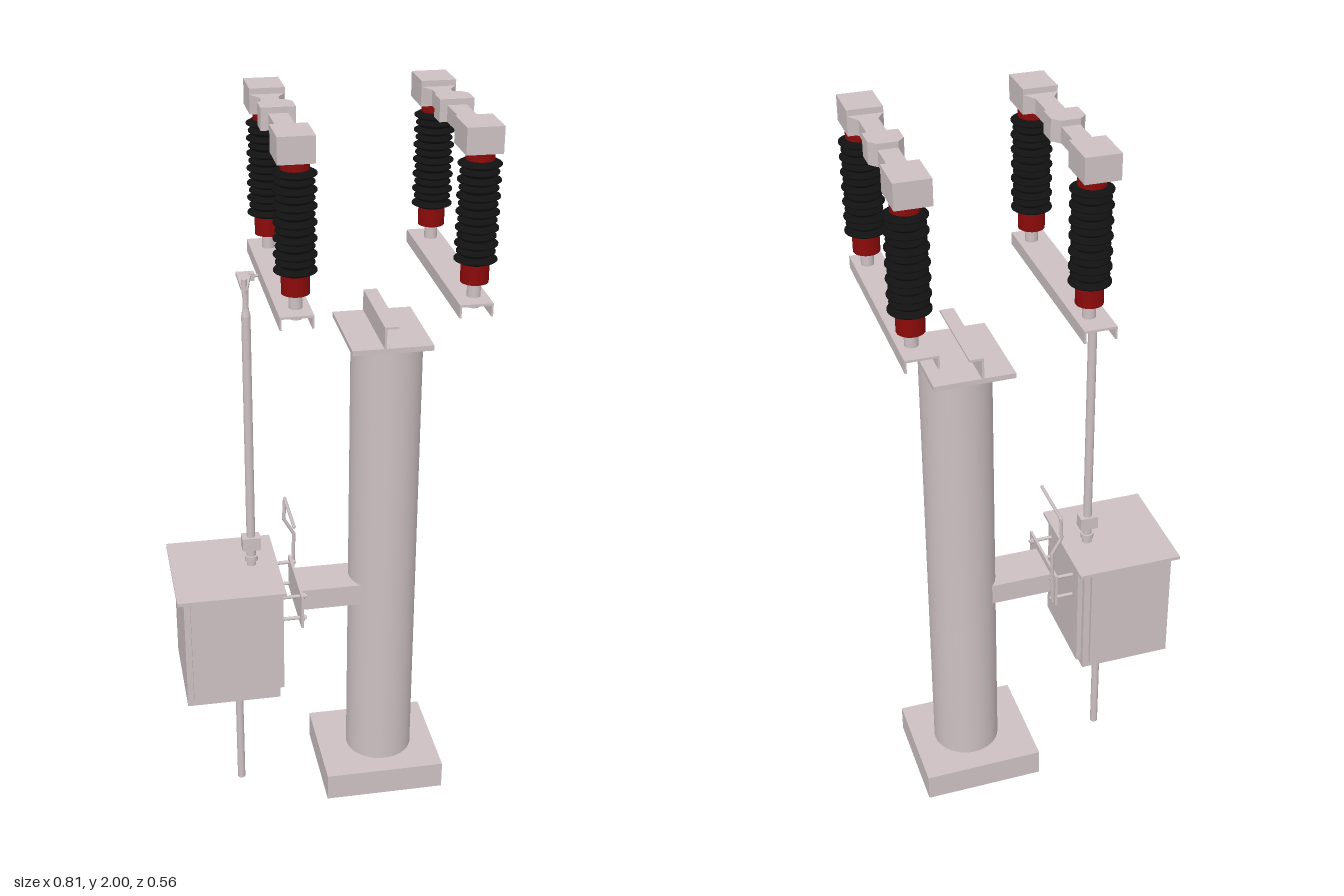
import * as THREE from 'three';

const steel = new THREE.MeshStandardMaterial({ color: 0xccc0c2 });
const steelOpen = new THREE.MeshStandardMaterial({ color: 0xccc0c2, side: THREE.DoubleSide });
const red = new THREE.MeshStandardMaterial({ color: 0x8b0a0a });
const black = new THREE.MeshStandardMaterial({ color: 0x111111 });

export function createModel() {
  const model = new THREE.Group();

  const add = (parent, name, geometry, material = steel) => {
    const mesh = new THREE.Mesh(geometry, material);
    mesh.name = name;
    parent.add(mesh);
    return mesh;
  };
  const group = (name) => {
    const g = new THREE.Group();
    g.name = name;
    model.add(g);
    return g;
  };
  // Box given by its limits on each axis
  const box = (parent, name, [x0, x1], [y0, y1], [z0, z1]) => {
    const g = new THREE.BoxGeometry(x1 - x0, y1 - y0, z1 - z0);
    return add(parent, name, g.translate((x0 + x1) / 2, (y0 + y1) / 2, (z0 + z1) / 2));
  };
  // Upright cylinder between two heights
  const post = (parent, name, x, z, y0, y1, r, material = steel, sides = 24, rTop = r) =>
    add(parent, name, new THREE.CylinderGeometry(rTop, r, y1 - y0, sides).translate(x, (y0 + y1) / 2, z), material);
  // Flat plate from an outline of [x, z] points
  const plate = (parent, name, points, y0, y1) => {
    const shape = new THREE.Shape(points.map(([x, z]) => new THREE.Vector2(x, -z)));
    const g = new THREE.ExtrudeGeometry(shape, { depth: y1 - y0, bevelEnabled: false });
    return add(parent, name, g.rotateX(-Math.PI / 2).translate(0, y0, 0));
  };

  // Hollow foot, open below
  const foot = group('foot');
  box(foot, 'footTop', [0.005, 0.345], [0.074, 0.08], [-0.15, 0.16]);
  for (const x of [0.005, 0.339]) box(foot, 'footSide', [x, x + 0.006], [0, 0.074], [-0.15, 0.16]);
  for (const z of [-0.15, 0.154]) box(foot, 'footEnd', [0.011, 0.339], [0, 0.074], [z, z + 0.006]);

  // Tubular column with head plate and angle bar
  const column = group('column');
  add(column, 'columnTube', new THREE.CylinderGeometry(0.095, 0.095, 1.335, 40, 1, true)
    .translate(0.185, 0.7175, 0.008), steelOpen);
  box(column, 'headPlate', [0.07, 0.283], [1.384, 1.398], [-0.146, 0.124]);
  box(column, 'angleWeb', [0.153, 0.159], [1.398, 1.456], [-0.146, 0.124]);
  box(column, 'angleFlange', [0.159, 0.19], [1.45, 1.456], [-0.146, 0.124]);

  // Insulator profile with alternating long and short sheds
  const sheds = [new THREE.Vector2(0, 1.655)];
  const count = 13, pitch = 0.255 / count;
  for (let i = 0; i < count; i++) {
    const y = 1.655 + i * pitch, r = i % 2 ? 0.048 : 0.053;
    sheds.push(new THREE.Vector2(0.038, y), new THREE.Vector2(r, y + pitch * 0.35),
      new THREE.Vector2(r, y + pitch * 0.5), new THREE.Vector2(0.038, y + pitch * 0.95));
  }
  sheds.push(new THREE.Vector2(0, 1.91));

  // Two identical poles: rail, two insulators, terminals and blade
  for (const [name, cx, ix] of [['rightPole', -0.097, -0.091], ['leftPole', 0.343, 0.35]]) {
    const pole = group(name);
    const rail = new THREE.Shape();
    const u = [[-0.042, 1.533], [-0.037, 1.533], [-0.037, 1.561], [0.037, 1.561],
      [0.037, 1.533], [0.042, 1.533], [0.042, 1.567], [-0.042, 1.567]];
    rail.setFromPoints(u.map(([x, y]) => new THREE.Vector2(cx + x, y)));
    add(pole, 'channelRail', new THREE.ExtrudeGeometry(rail, { depth: 0.565, bevelEnabled: false })
      .translate(0, 0, -0.285));

    for (const z of [-0.216, 0.222]) {
      post(pole, 'insulatorStud', ix, z, 1.54, 1.606, 0.017);
      post(pole, 'lowerCap', ix, z, 1.605, 1.656, 0.035, red);
      add(pole, 'insulator', new THREE.LatheGeometry(sheds, 32).translate(ix, 0, z), black);
      post(pole, 'upperCap', ix, z, 1.909, 1.937, 0.035, red);
    }
    box(pole, 'rearTerminal', [cx - 0.044, cx + 0.046], [1.935, 2], [-0.272, -0.163]);
    box(pole, 'frontTerminal', [cx - 0.044, cx + 0.046], [1.935, 2], [0.17, 0.28]);

    // Blade flares out where it meets the terminals
    const half = [[0.044, -0.163], [0.024, -0.13], [0.024, 0.138], [0.044, 0.17]];
    const mirrored = half.map(([x, z]) => [-x, z]).reverse();
    plate(pole, 'blade', [...half, ...mirrored].map(([x, z]) => [cx + x, z]), 1.945, 1.985);
    const clamp = [[0.025, -0.05], [0.043, -0.03], [0.043, 0.023], [-0.043, 0.023], [-0.043, -0.03], [-0.025, -0.05]];
    plate(pole, 'contactClamp', clamp.map(([x, z]) => [cx + x, z]), 1.944, 2);
  }

  // Drive cabinet with panels on three sides
  const cabinet = group('cabinet');
  box(cabinet, 'cabinetBody', [-0.387, -0.128], [0.37, 0.712], [-0.14, 0.143]);
  box(cabinet, 'cabinetRoof', [-0.405, -0.11], [0.71, 0.72], [-0.158, 0.162]);
  box(cabinet, 'frontDoor', [-0.37, -0.146], [0.39, 0.71], [0.143, 0.155]);
  box(cabinet, 'rearDoor', [-0.37, -0.146], [0.39, 0.71], [-0.152, -0.14]);
  box(cabinet, 'sidePanel', [-0.128, -0.114], [0.39, 0.71], [-0.125, 0.128]);
  post(cabinet, 'cableConduit', -0.228, 0.01, 0, 0.37, 0.011, steel, 16);

  // Arm carrying the cabinet on the column
  const arm = group('supportArm');
  box(arm, 'armBeam', [-0.06, 0.115], [0.603, 0.665], [-0.055, 0.07]);
  box(arm, 'armPlate', [-0.065, -0.058], [0.583, 0.685], [-0.095, 0.13]);
  for (const y of [0.6, 0.67]) for (const z of [-0.08, 0.102]) {
    const bolt = (name, r, x0, x1, sides) => add(arm, name,
      new THREE.CylinderGeometry(r, r, x1 - x0, sides).rotateZ(Math.PI / 2).translate((x0 + x1) / 2, y, z));
    bolt('mountingStud', 0.005, -0.116, -0.046, 12);
    bolt('studNut', 0.009, -0.058, -0.051, 6);
  }

  // Bent hand crank beside the arm
  const crank = new THREE.CurvePath();
  const bends = [[-0.055, 0.59, -0.085], [-0.05, 0.76, -0.085], [-0.078, 0.81, -0.085],
    [-0.075, 0.875, -0.085], [-0.075, 0.875, 0.075]].map((p) => new THREE.Vector3(...p));
  for (let i = 1; i < bends.length; i++) crank.add(new THREE.LineCurve3(bends[i - 1], bends[i]));
  const handle = group('handCrank');
  for (const line of crank.curves) add(handle, 'crankBar', new THREE.TubeGeometry(line, 1, 0.005, 8), steelOpen);
  for (const p of bends) add(handle, 'crankBend', new THREE.SphereGeometry(0.005, 8, 6).translate(p.x, p.y, p.z));

  // Vertical drive shaft with coupling and top lever
  const shaft = group('driveShaft');
  const sx = -0.182, sz = -0.008;
  post(shaft, 'shaftNeck', sx, sz, 0.72, 0.78, 0.013);
  post(shaft, 'shaftCollar', sx, sz, 0.735, 0.75, 0.018);
  box(shaft, 'coupling', [sx - 0.025, sx + 0.025], [0.772, 0.81], [sz - 0.018, sz + 0.018]);
  post(shaft, 'shaftTube', sx, sz, 0.81, 1.46, 0.012);
  post(shaft, 'shaftTaper', sx, sz, 1.46, 1.48, 0.012, steel, 24, 0.008);
  post(shaft, 'shaftTip', sx, sz, 1.48, 1.565, 0.008);
  plate(shaft, 'lever', [[-0.203, -0.03], [-0.17, -0.03], [-0.17, 0.005], [-0.186, 0.08], [-0.204, 0.08]], 1.563, 1.572);
  post(shaft, 'leverPin', -0.195, 0.073, 1.552, 1.59, 0.007, steel, 16);
  box(shaft, 'leverClamp', [-0.172, -0.158], [1.555, 1.575], [-0.022, -0.002]);
  add(shaft, 'clampBolt', new THREE.CylinderGeometry(0.004, 0.004, 0.03, 10).rotateZ(Math.PI / 2)
    .translate(-0.164, 1.565, -0.012));

  return model;
}
